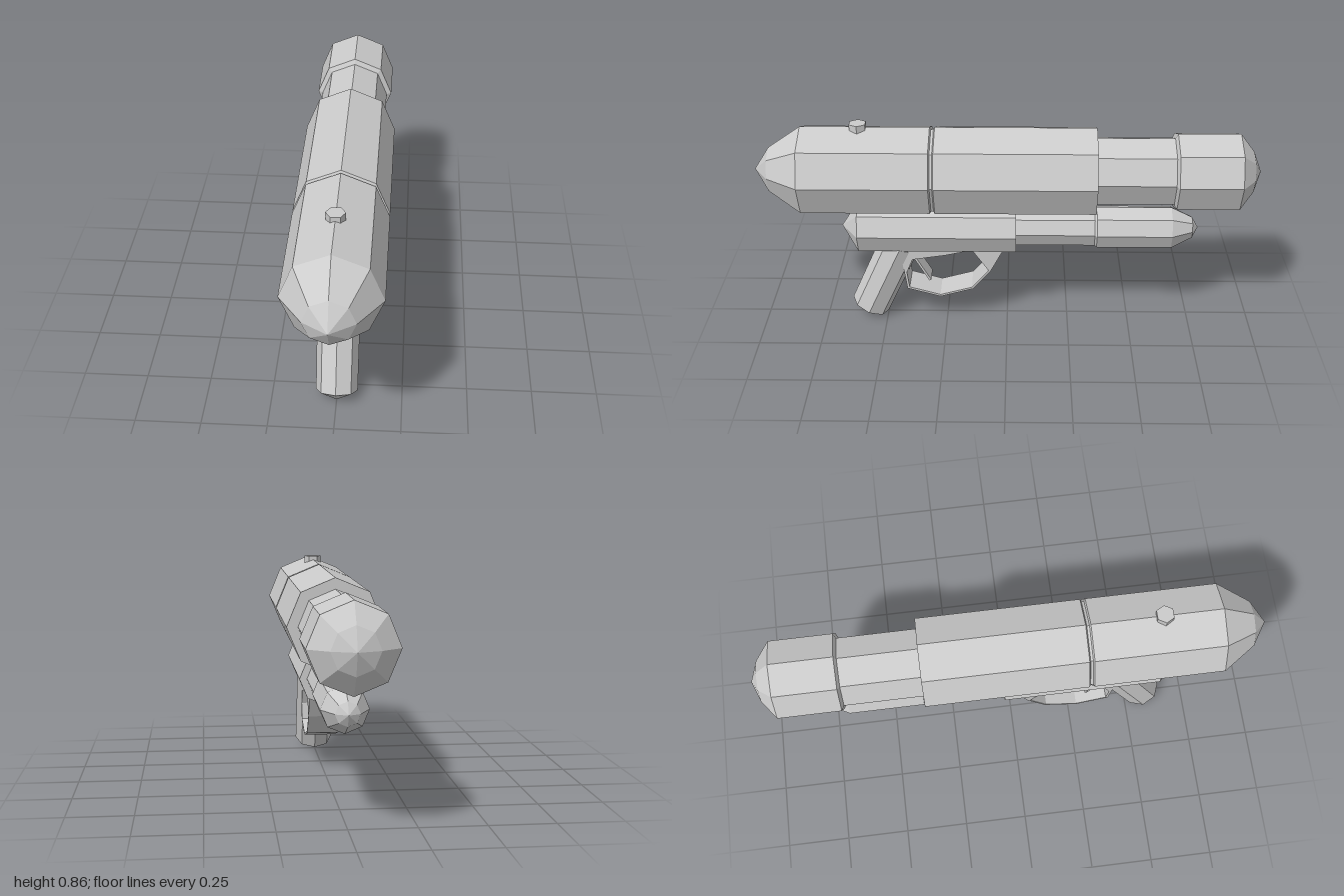
import * as THREE from 'three';

const grey = new THREE.MeshStandardMaterial({ color: 0xcccccc, flatShading: true, side: THREE.DoubleSide });

function add(group, name, geometry, x = 0, y = 0, z = 0) {
  const mesh = new THREE.Mesh(geometry, grey);
  mesh.name = name;
  mesh.position.set(x, y, z);
  group.add(mesh);
  return mesh;
}

// Eight-sided body turned along z; profile holds [z, radius] from back to front.
function octagonTube(profile) {
  const points = profile.map(([z, r]) => new THREE.Vector2(r, z));
  return new THREE.LatheGeometry(points, 8).rotateX(Math.PI / 2);
}

// Side outline of [z, y] points.
const outline = (points) => points.map(([z, y]) => new THREE.Vector2(z, y));

export function createModel() {
  const model = new THREE.Group();
  model.name = 'toyBlaster';

  // Upper tank: rounded rear, neck, main body, ring groove and pointed nose
  add(model, 'upperTank', octagonTube([
    [-1, 0], [-0.967, 0.085], [-0.91, 0.16], [-0.665, 0.16], [-0.655, 0.14],
    [-0.35, 0.14], [-0.35, 0.183], [0.283, 0.183], [0.288, 0.173],
    [0.298, 0.173], [0.303, 0.183], [0.81, 0.183], [0.94, 0.093], [1, 0],
  ]), 0, 0.673, 0);

  // Lower body with its slimmer pump handle
  add(model, 'lowerBody', octagonTube([
    [-0.36, 0], [-0.36, 0.08], [-0.035, 0.08], [-0.035, 0.11], [0.6, 0.11], [0.67, 0],
  ]), 0, 0.421, 0);
  add(model, 'pumpHandle', octagonTube([
    [-0.77, 0], [-0.745, 0.045], [-0.66, 0.088], [-0.36, 0.088], [-0.345, 0.074], [-0.335, 0.08],
  ]), 0, 0.421, 0);

  // Filler cap on top
  add(model, 'fillerCap', new THREE.CylinderGeometry(0.036, 0.036, 0.04, 6, 1, false, Math.PI / 6), 0, 0.852, 0.583);

  // Slanted grip with a shallow pointed foot
  const gripPoints = [[0, -0.04], [0.08, 0], [0.082, 0.33], [0, 0.33]];
  const grip = add(model, 'grip',
    new THREE.LatheGeometry(gripPoints.map(([r, y]) => new THREE.Vector2(r, y)), 8), 0, 0.047, 0.573);
  grip.rotation.x = -0.43;

  // Trigger guard: a wide band around an open ring
  const guard = new THREE.Shape(outline([
    [0.44, 0.36], [0.42, 0.235], [0.41, 0.16], [0.275, 0.122],
    [0.14, 0.16], [0.067, 0.246], [0.015, 0.345], [0.015, 0.36],
  ]));
  guard.holes.push(new THREE.Path(outline([
    [0.385, 0.297], [0.25, 0.318], [0.142, 0.342], [0.076, 0.247],
    [0.145, 0.167], [0.275, 0.131], [0.401, 0.167], [0.41, 0.236],
  ])));
  const width = 0.13;
  const guardGeometry = new THREE.ExtrudeGeometry(guard, { depth: width, bevelEnabled: false });
  guardGeometry.translate(0, 0, -width / 2).rotateY(-Math.PI / 2);
  add(model, 'triggerGuard', guardGeometry);

  // Trigger plate
  const trigger = add(model, 'trigger', new THREE.BoxGeometry(0.08, 0.14, 0.009), 0, 0.246, 0.352);
  trigger.rotation.x = 0.52;

  return model;
}
